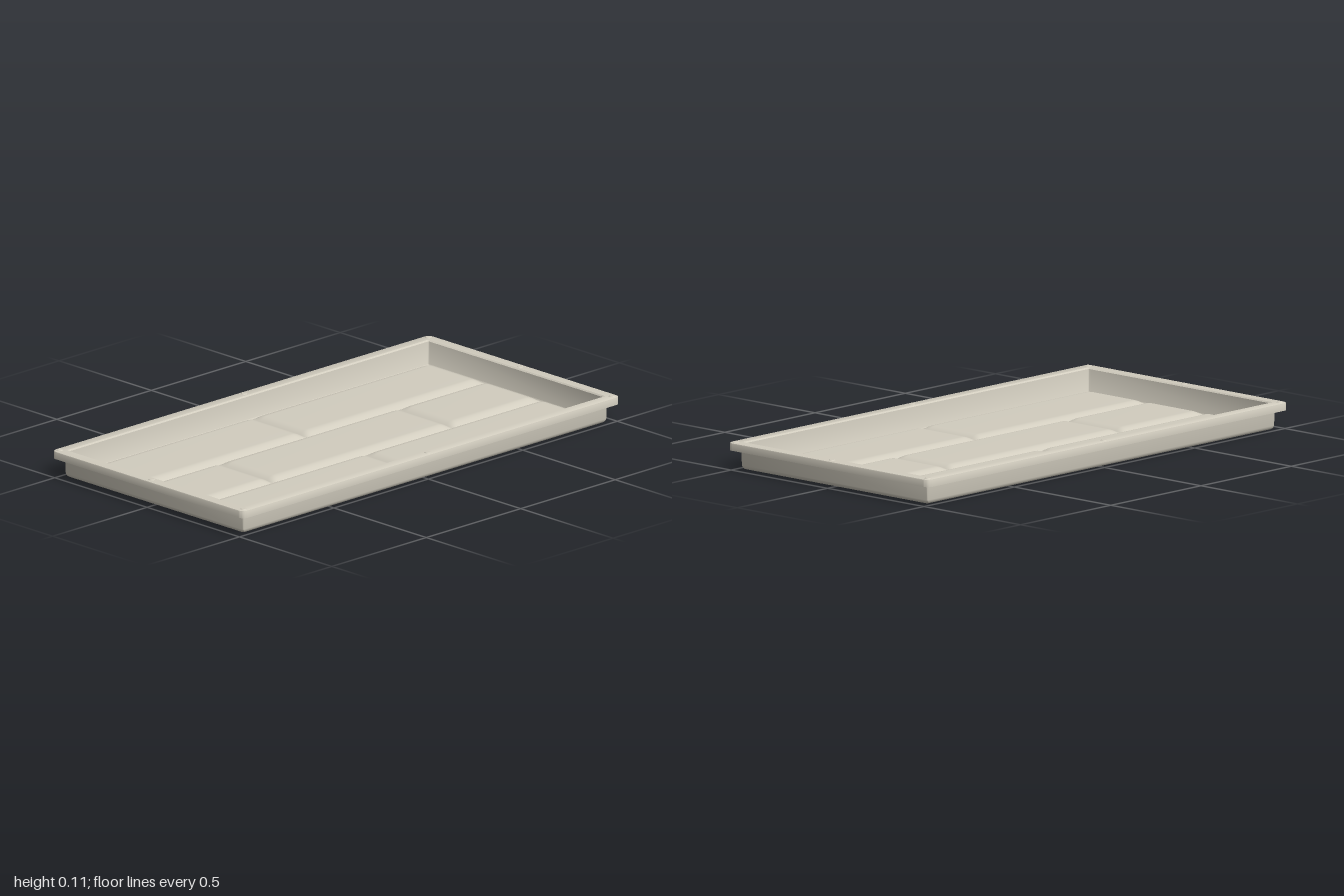
import * as THREE from 'three';
import { toCreasedNormals } from 'three/addons/utils/BufferGeometryUtils.js';

const HX = 1, HZ = 0.52;      // half size at the rim
const FX = 0.94, FZ = 0.46;   // half size of the floor

// Rounded rectangle loop, inset from the rim edge
function loopPoints(inset, y) {
  const r = Math.max(0.025 - inset, 0.008), out = [];
  const cx = HX - inset - r, cz = HZ - inset - r;
  [[1, 1], [-1, 1], [-1, -1], [1, -1]].forEach(([sx, sz], q) => {
    for (let k = 0; k <= 6; k++) {
      const a = (q + k / 6) * Math.PI / 2;
      out.push([sx * cx + r * Math.cos(a), y, sz * cz + r * Math.sin(a)]);
    }
  });
  return out;
}

// Skin a profile of [inset, y] around the tray
function sweepProfile(profile) {
  const loops = profile.map(([d, y]) => loopPoints(d, y));
  const n = loops[0].length, index = [];
  for (let j = 0; j < loops.length - 1; j++) {
    for (let i = 0; i < n; i++) {
      const a = j * n + i, b = j * n + (i + 1) % n;
      index.push(a, b, a + n, b, b + n, a + n);
    }
  }
  const g = new THREE.BufferGeometry();
  g.setAttribute('position', new THREE.Float32BufferAttribute(loops.flat(2), 3));
  g.setIndex(index);
  return toCreasedNormals(g, 0.6);
}

// Raised floor panel whose edges fall away into the drain channels
function panelGeometry(x0, x1, z0, z1, baseY, rise, down) {
  const slope = 0.045;
  const steps = [0, 0.006, 0.013, 0.021, 0.032, slope];
  const spread = (a, b) => [...steps.map(s => a + s), ...steps.map(s => b - s).reverse()];
  const ease = (v, a, b) => {
    const t = Math.min(1, Math.min(v - a, b - v) / slope);
    return 1 - (1 - t) ** 2;
  };
  const xs = spread(x0, x1), zs = spread(z0, z1), n = xs.length;
  const pos = [], index = [];
  zs.forEach(z => xs.forEach(x =>
    pos.push(x, baseY + rise * ease(x, x0, x1) * ease(z, z0, z1), z)));
  for (let j = 0; j < n - 1; j++) {
    for (let i = 0; i < n - 1; i++) {
      const a = j * n + i, b = a + 1, c = a + n, d = c + 1;
      if (down) index.push(a, b, c, b, d, c);
      else index.push(a, c, b, b, c, d);
    }
  }
  const g = new THREE.BufferGeometry();
  g.setAttribute('position', new THREE.Float32BufferAttribute(pos, 3));
  g.setIndex(index);
  g.computeVertexNormals();
  return g;
}

export function createModel() {
  const group = new THREE.Group();
  group.name = 'tray';
  const plastic = new THREE.MeshStandardMaterial({ color: 0xd2cdbf });
  plastic.name = 'warm grey plastic';
  const add = (geometry, name, parent = group) => {
    const m = new THREE.Mesh(geometry, plastic);
    m.name = name;
    parent.add(m);
    return m;
  };

  // Walls, flat rim and its hollow turned-down lip
  add(sweepProfile([
    [0.06, 0.01], [0.057, 0.014], [0.047, 0.1], [0.042, 0.105],
    [0.005, 0.105], [0.0015, 0.1035], [0, 0.1], [0, 0.075], [0.008, 0.075],
    [0.008, 0.096], [0.035, 0.096], [0.037, 0.016], [0.039, 0.008],
    [0.044, 0.002], [0.05, 0], [0.06, 0],
  ]), 'wallsAndRim');

  // Floor panels in a staggered pattern, upper and lower skins
  const rows = [
    [-FZ, -0.152, [-FX, 0, FX]],
    [-0.152, 0.152, [-FX, -0.475, 0.475, FX]],
    [0.152, FZ, [-FX, 0, FX]],
  ];
  const floor = new THREE.Group();
  floor.name = 'floor';
  group.add(floor);
  for (const [z0, z1, cuts] of rows) {
    for (let i = 0; i < cuts.length - 1; i++) {
      add(panelGeometry(cuts[i], cuts[i + 1], z0, z1, 0.01, 0.018, false), 'floorPanelTop', floor);
      add(panelGeometry(cuts[i], cuts[i + 1], z0, z1, 0, 0.018, true), 'floorPanelUnderside', floor);
    }
  }

  // Small low studs at the corners and middles of the rim
  for (const x of [-1, 0, 1]) {
    for (const z of [-1, 0, 1]) {
      if (x === 0 && z === 0) continue;
      const stud = add(new THREE.CylinderGeometry(0.01, 0.013, 0.003, 16), 'rimStud');
      stud.position.set(x * 0.975, 0.1062, z * 0.497);
    }
  }
  return group;
}
